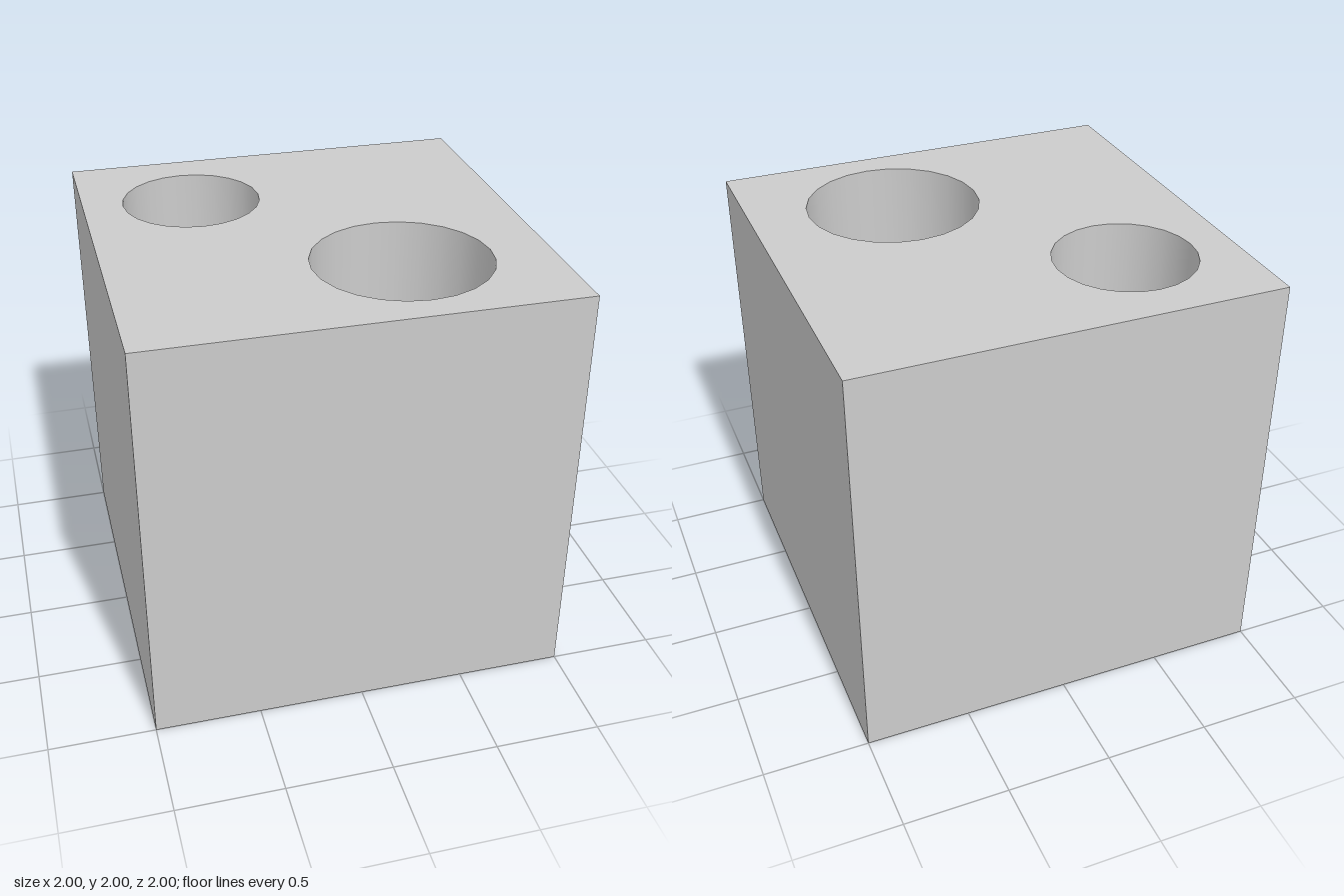
import * as THREE from 'three';

const SIZE = 2, DEPTH = 1.3, SEGMENTS = 24;
const WELLS = [
  { name: 'smallWell', x: -0.475, z: -0.475, r: 0.333 },
  { name: 'largeWell', x: 0.31, z: 0.44, r: 0.417 },
];

export function createModel() {
  const group = new THREE.Group();
  const material = new THREE.MeshStandardMaterial({ color: 0xcccccc });
  const add = (parent, name, geometry) => {
    const mesh = new THREE.Mesh(geometry, material);
    mesh.name = name;
    parent.add(mesh);
    return mesh;
  };

  // Block sides and base: a box without its top face (indices 12 to 17)
  const box = new THREE.BoxGeometry(SIZE, SIZE, SIZE);
  const index = Array.from(box.index.array);
  index.splice(12, 6);
  box.setIndex(index);
  box.clearGroups();
  add(group, 'blockSides', box).position.y = SIZE / 2;

  // Top face with a round opening for each well
  const h = SIZE / 2;
  const top = new THREE.Shape([[-h, -h], [h, -h], [h, h], [-h, h]].map(([x, y]) => new THREE.Vector2(x, y)));
  for (const { x, z, r } of WELLS) {
    const rim = [];
    for (let i = 0; i < SEGMENTS; i++) {
      const a = (i / SEGMENTS) * Math.PI * 2;
      rim.push(new THREE.Vector2(x + r * Math.cos(a), -z + r * Math.sin(a)));
    }
    top.holes.push(new THREE.Path(rim));
  }
  add(group, 'topFace', new THREE.ShapeGeometry(top).rotateX(-Math.PI / 2)).position.y = SIZE;

  // Wells: smooth wall facing inward (profile runs downward) and a flat floor
  for (const { name, x, z, r } of WELLS) {
    const well = new THREE.Group();
    well.name = name;
    well.position.set(x, SIZE, z);
    const profile = [new THREE.Vector2(r, 0), new THREE.Vector2(r, -DEPTH)];
    add(well, 'wellWall', new THREE.LatheGeometry(profile, SEGMENTS));
    add(well, 'wellFloor', new THREE.CircleGeometry(r, SEGMENTS).rotateX(-Math.PI / 2)).position.y = -DEPTH;
    group.add(well);
  }
  return group;
}
